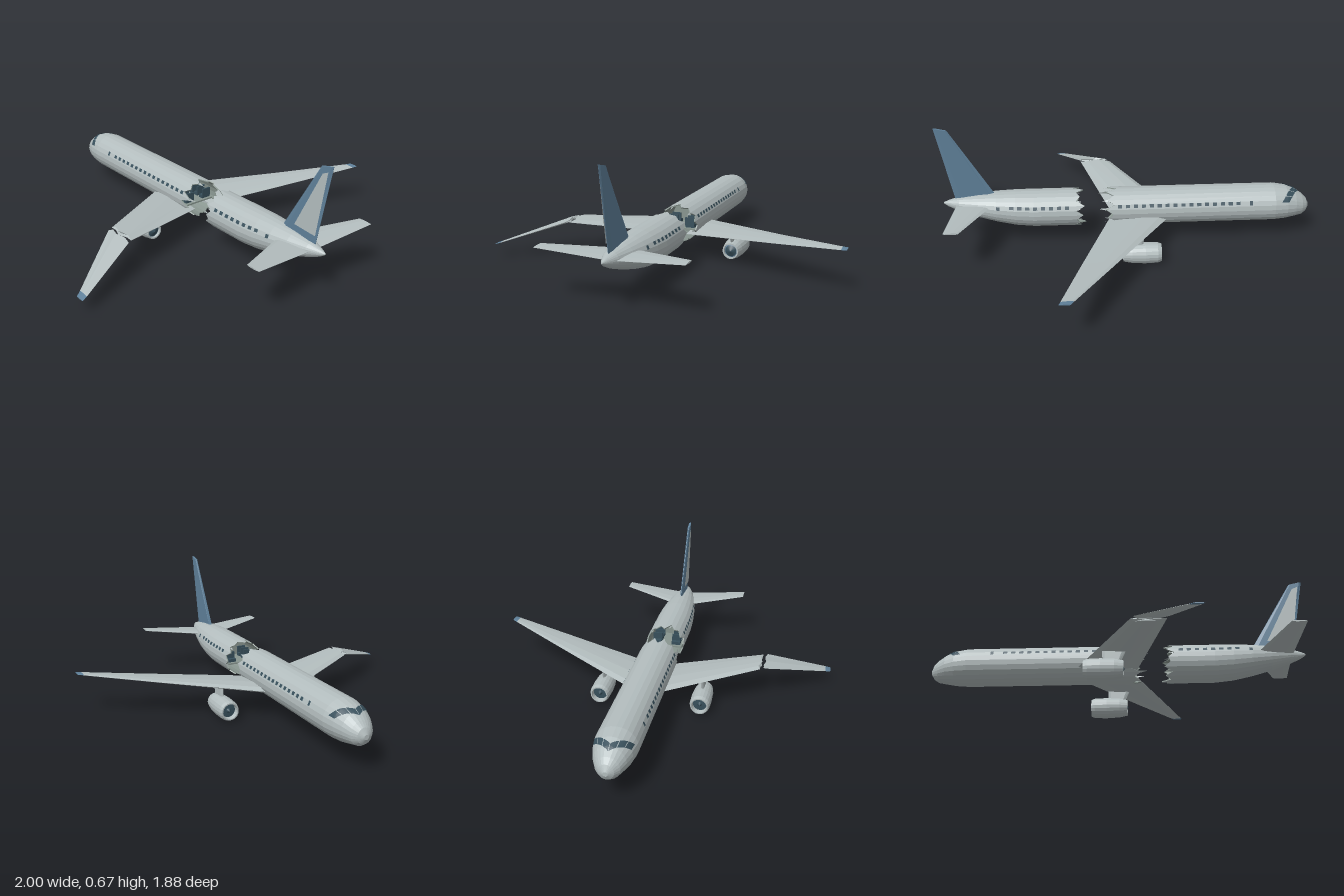
import * as THREE from 'three';

const paint = (name, color) => {
  const m = new THREE.MeshStandardMaterial({ color, flatShading: true, side: THREE.DoubleSide });
  m.name = name;
  return m;
};
const SIDES = 24;
const rad = THREE.MathUtils.degToRad;

// Fuselage stations: x, centre height, half height, half width
const STATIONS = [
  [-1, 0.17, 0.012, 0.012], [-0.985, 0.172, 0.04, 0.038], [-0.96, 0.176, 0.06, 0.06],
  [-0.92, 0.186, 0.077, 0.08], [-0.87, 0.192, 0.092, 0.096], [-0.8, 0.195, 0.1, 0.107],
  [0.5, 0.195, 0.1, 0.107], [0.6, 0.2, 0.095, 0.102], [0.7, 0.209, 0.082, 0.091],
  [0.8, 0.219, 0.064, 0.072], [0.9, 0.229, 0.04, 0.043], [0.96, 0.234, 0.018, 0.017],
  [0.985, 0.238, 0.004, 0.004]
];

// Point on the fuselage skin at x and angle a (0 = +z side, 90 degrees = top)
function skin(x, a, scale = 1, lift = 0) {
  let i = 0;
  while (i < STATIONS.length - 2 && x > STATIONS[i + 1][0]) i++;
  const p = STATIONS[i], q = STATIONS[i + 1];
  const t = THREE.MathUtils.clamp((x - p[0]) / (q[0] - p[0]), 0, 1);
  const [c, h, w] = [1, 2, 3].map(k => THREE.MathUtils.lerp(p[k], q[k], t));
  return [x, c + (h * scale + lift) * Math.sin(a), (w * scale + lift) * Math.cos(a)];
}

function fromPositions(pos) {
  const g = new THREE.BufferGeometry();
  g.setAttribute('position', new THREE.Float32BufferAttribute(pos, 3));
  g.computeVertexNormals();
  return g;
}

// Joins closed loops of points, with optional end caps; faces are turned outward
function loft(loops, capStart = true, capEnd = true) {
  const tris = [], n = loops[0].length;
  for (let r = 0; r < loops.length - 1; r++) {
    for (let i = 0; i < n; i++) {
      const j = (i + 1) % n, A = loops[r], B = loops[r + 1];
      tris.push([A[i], A[j], B[j]], [A[i], B[j], B[i]]);
    }
  }
  const cap = (L, flip) => {
    const c = [0, 1, 2].map(k => L.reduce((s, p) => s + p[k], 0) / n);
    L.forEach((p, i) => tris.push(flip ? [c, L[(i + 1) % n], p] : [c, p, L[(i + 1) % n]]));
  };
  if (capStart) cap(loops[0], true);
  if (capEnd) cap(loops[loops.length - 1], false);
  const o = new THREE.Vector3(...loops[0][0]);
  const v = p => new THREE.Vector3(...p).sub(o);
  const volume = tris.reduce((s, [a, b, c]) => s + v(a).dot(v(b).cross(v(c))), 0);
  return fromPositions(tris.flatMap(t => (volume < 0 ? [t[0], t[2], t[1]] : t).flat()));
}

// Blade cross-section from leading point a to trailing point b
const AIRFOIL = [[0, 0], [0.12, 0.75], [0.4, 1], [0.75, 0.6], [1, 0.06]];
const SLAB = [[0, 0.1], [0.12, 1], [0.85, 1], [1, 0.1]];
function section(a, b, thick, axis, profile = AIRFOIL, jag = null) {
  const at = (k, side) => {
    const [f, h] = profile[k];
    const p = a.map((v, i) => v + (b[i] - v) * f);
    p[axis] += side * h * thick;
    if (jag) p[2] += jag[k];
    return p;
  };
  const ks = profile.map((_, k) => k);
  return [...ks.map(k => at(k, 1)), ...ks.reverse().map(k => at(k, -1))];
}

export function createModel() {
  const model = new THREE.Group();
  model.name = 'brokenAirliner';
  const grey = paint('paleGreySkin', 0xb3bdbe), blue = paint('steelBlue', 0x5f8099);
  const dark = paint('darkGlass', 0x38505c), lining = paint('cabinLining', 0x88958f);
  const add = (name, geometry, material, parent = model) => {
    const m = new THREE.Mesh(geometry, material);
    m.name = name;
    parent.add(m);
    return m;
  };

  // Torn edges of the hull
  let seed = 7;
  const rnd = () => (seed = (seed * 16807) % 2147483647) / 2147483647;
  const tear = (mid, amp) => Array.from({ length: SIDES }, (_, i) =>
    mid + amp * ((i % 2 ? 0.5 : -0.5) + rnd() - 0.5));
  const foreTear = tear(0.085, 0.04), aftTear = tear(0.262, 0.04);
  const ring = (x, scale = 1) => Array.from({ length: SIDES }, (_, i) =>
    skin(Array.isArray(x) ? x[i] : x, (i / SIDES) * Math.PI * 2, scale));
  const xs = STATIONS.map(s => s[0]);
  add('frontFuselage', loft([...xs.filter(x => x < 0).map(x => ring(x)), ring(foreTear)], true, false), grey);
  add('rearFuselage', loft([ring(aftTear), ...xs.filter(x => x > 0.4).map(x => ring(x))], false, true), grey);
  add('frontCabinLining', loft([ring(foreTear), ring(foreTear, 0.94), ring(-0.1, 0.94)], false, true), lining);
  add('rearCabinLining', loft([ring(aftTear), ring(aftTear, 0.94), ring(0.45, 0.94)], false, true), lining);

  // Cabin floors, seats and torn strips at each break
  for (const [label, start, dir, edge] of [['front', 0.07, -1, foreTear], ['rear', 0.28, 1, aftTear]]) {
    const floor = add(label + 'Floor', new THREE.BoxGeometry(0.16, 0.008, 0.18), lining);
    floor.position.set(start + dir * 0.08, 0.165, 0);
    for (let row = 0; row < 3; row++) for (const z of [-0.055, 0.055]) {
      const x = start + dir * (0.025 + row * 0.045);
      add('seatCushion', new THREE.BoxGeometry(0.026, 0.018, 0.05), dark).position.set(x, 0.18, z);
      add('seatBack', new THREE.BoxGeometry(0.008, 0.045, 0.05), dark).position.set(x + 0.013, 0.203, z);
    }
    const strips = [];
    for (let i = 1; i < SIDES; i += 4) {
      const a = (i / SIDES) * Math.PI * 2, x = edge[i];
      strips.push(...skin(x + dir * 0.015, a - 0.08, 0.98), ...skin(x + dir * 0.015, a + 0.08, 0.98),
        ...skin(x - dir * 0.035, a + 0.03, 0.9));
    }
    add(label + 'TornStrips', fromPositions(strips), grey);
  }

  // Glass patches laid on the skin, mirrored to both sides
  const glass = (name, panes, steps, lift) => {
    const pos = [];
    for (const side of [1, -1]) for (const [a0, a1, xa, xb] of panes) {
      const P = (u, v) => {
        const deg = a0 + (a1 - a0) * v;
        const p = skin(xa(deg) + (xb(deg) - xa(deg)) * u, rad(deg), 1, lift);
        return [p[0], p[1], p[2] * side];
      };
      for (let i = 0; i < steps; i++) for (let j = 0; j < steps; j++) {
        const [u, v, U, V] = [i, j, i + 1, j + 1].map(k => k / steps);
        const q = [P(u, v), P(U, v), P(U, V), P(u, V)];
        const order = side > 0 ? [0, 1, 2, 0, 2, 3] : [0, 2, 1, 0, 3, 2];
        pos.push(...order.flatMap(k => q[k]));
      }
    }
    add(name, fromPositions(pos), dark);
  };
  const pane = (x, w, a0 = 20, a1 = 30) => [a0, a1, () => x - w / 2, () => x + w / 2];
  const cabin = [pane(-0.665, 0.016, 18, 31), pane(0.69, 0.018, 14, 27)];
  for (let i = 0; i < 16; i++) cabin.push(pane(-0.595 + i * 0.0425, 0.022));
  for (let i = 0; i < 8; i++) cabin.push(pane(0.325 + i * 0.042, 0.022));
  glass('cabinWindows', cabin, 1, 0.002);
  const front = d => -0.94 + 0.065 * (90 - d) / 65, back = d => -0.905 + 0.07 * (90 - d) / 65;
  glass('cockpitWindows', [[24, 44, front, back], [46, 66, front, back], [68, 89, front, back]], 4, 0.003);

  // Intact wing on the -z side
  const foil = (a, b, t, jag) => section(a, b, t, 1, AIRFOIL, jag);
  const wingTip = [[0.285, 0.218, -0.912], [0.347, 0.218, -0.912]];
  add('intactWing', loft([
    foil([-0.235, 0.148, -0.05], [0.095, 0.145, -0.05], 0.02),
    foil([0.08, 0.188, -0.57], [0.249, 0.188, -0.57], 0.009),
    foil(...wingTip, 0.004)]), grey);
  add('intactWingTip', loft([foil(...wingTip, 0.004),
    foil([0.3, 0.221, -0.94], [0.355, 0.221, -0.94], 0.003)]), blue);

  // Snapped wing on the +z side: inner stub and drooping outer panel
  add('wingStub', loft([
    foil([-0.235, 0.148, 0.05], [0.095, 0.145, 0.05], 0.02),
    foil([0.075, 0.188, 0.558], [0.25, 0.188, 0.558], 0.012, [0.006, -0.004, 0.012, -0.004, 0.008])]), grey);
  const droopTip = [[0.336, 0.078, 0.912], [0.397, 0.078, 0.912]];
  add('snappedOuterWing', loft([
    foil([0.09, 0.188, 0.585], [0.262, 0.188, 0.585], 0.011, [0.008, -0.006, 0.01, -0.005, 0.004]),
    foil(...droopTip, 0.004)]), grey);
  add('snappedWingTip', loft([foil(...droopTip, 0.004),
    foil([0.355, 0.069, 0.94], [0.405, 0.069, 0.94], 0.003)]), blue);

  // Engines, pylons and tailplanes, mirrored
  const lathe = pts => new THREE.LatheGeometry(pts.map(p => new THREE.Vector2(...p)), 20).rotateZ(-Math.PI / 2);
  for (const s of [1, -1]) {
    const engine = new THREE.Group();
    engine.name = s > 0 ? 'nearEngine' : 'farEngine';
    engine.position.set(0, 0.057, s * 0.275);
    add('nacelle', lathe([[0.037, -0.135], [0.041, -0.165], [0.047, -0.165], [0.054, -0.145], [0.056, -0.08],
      [0.052, -0.01], [0.043, 0.035], [0.036, 0.035], [0.035, 0.01]]), grey, engine);
    add('fanAndSpinner', lathe([[0, -0.16], [0.012, -0.14], [0.038, -0.138]]), dark, engine);
    add('exhaustRing', lathe([[0.036, 0.02], [0.026, 0.025]]), blue, engine);
    add('exhaustCone', lathe([[0.03, 0.024], [0.018, 0.03], [0, 0.04]]), dark, engine);
    model.add(engine);
    const z = s * 0.275;
    add('pylon', loft([section([-0.07, 0.1, z], [0.02, 0.095, z], 0.008, 2, SLAB),
      section([-0.075, 0.165, z], [0.05, 0.165, z], 0.008, 2, SLAB)]), grey);
    add('tailplane', loft([foil([0.72, 0.232, s * 0.03], [0.915, 0.232, s * 0.03], 0.01),
      foil([0.862, 0.258, s * 0.368], [0.94, 0.258, s * 0.368], 0.004)]), grey);
  }

  // Tail fin with a pale inset panel on its +z face
  add('tailFin', loft([section([0.69, 0.25, 0], [0.92, 0.25, 0], 0.008, 2, SLAB),
    section([0.93, 0.657, 0], [1, 0.673, 0], 0.006, 2, SLAB)]), blue);
  const panel = new THREE.Shape([[0.79, 0.318], [0.924, 0.308], [0.977, 0.642], [0.945, 0.627]]
    .map(p => new THREE.Vector2(...p)));
  add('finPanel', new THREE.ShapeGeometry(panel).translate(0, 0, 0.0095), grey);
  return model;
}
